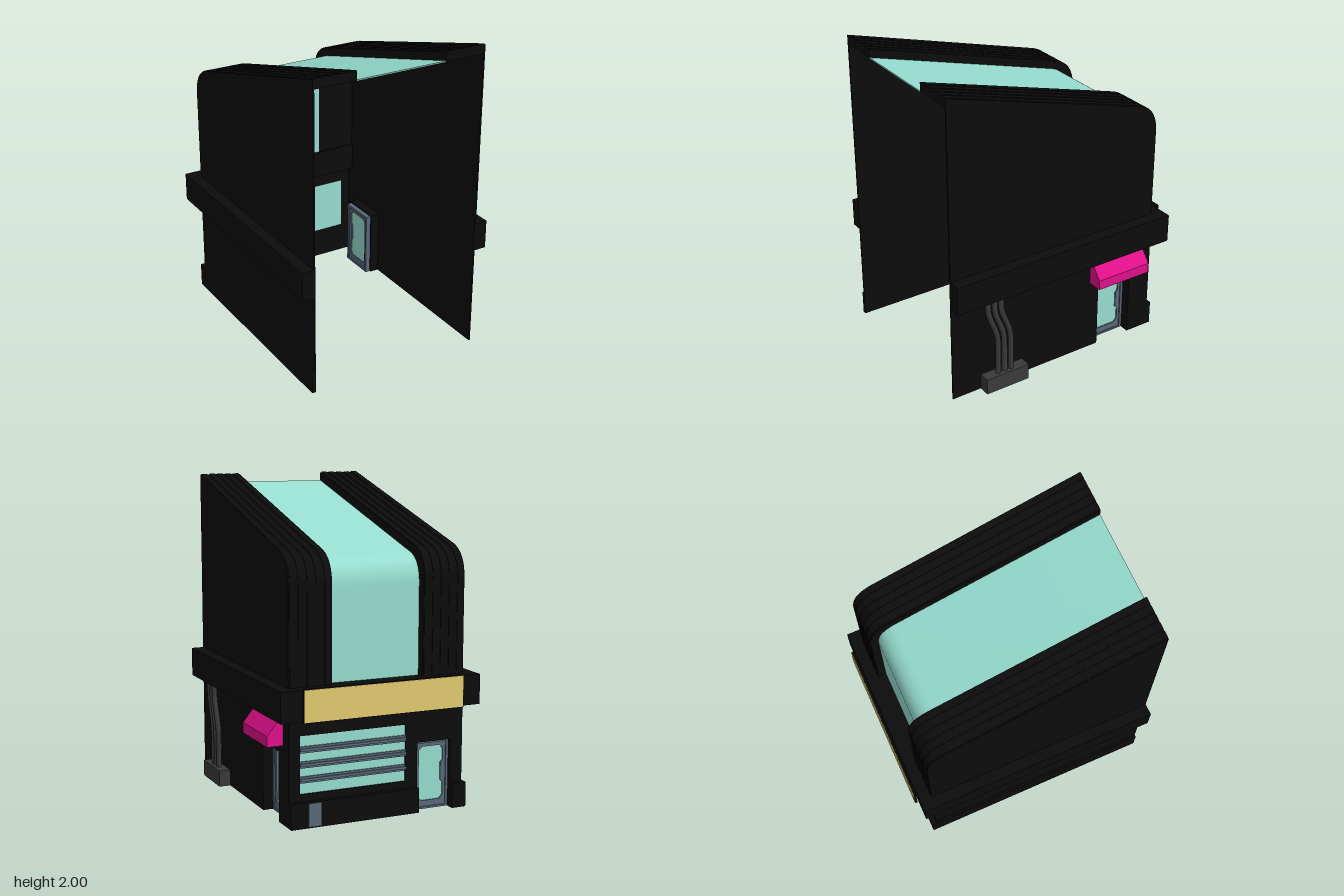
import * as THREE from 'three';
import { toCreasedNormals } from 'three/addons/utils/BufferGeometryUtils.js';

const mat = (name, color) => {
  const m = new THREE.MeshStandardMaterial({ color, side: THREE.DoubleSide });
  m.name = name;
  return m;
};

export function createModel() {
  const black = mat('black wall', 0x0c0c0c);
  const teal = mat('teal glass', 0x96ddcf);
  const slate = mat('slate frame', 0x5a6878);
  const grey = mat('dark grey pipe', 0x3a3a3a);
  const pink = mat('pink awning', 0xe0108a);
  const gold = mat('gold sign', 0xe3cc70);

  const model = new THREE.Group();
  const add = (name, geo, material, parent = model) => {
    const mesh = new THREE.Mesh(geo, material);
    mesh.name = name;
    parent.add(mesh);
    return mesh;
  };
  // box given by its limits on each axis
  const box = (name, material, x0, x1, y0, y1, z0, z1, parent = model) => {
    const g = new THREE.BoxGeometry(x1 - x0, y1 - y0, z1 - z0);
    g.translate((x0 + x1) / 2, (y0 + y1) / 2, (z0 + z1) / 2);
    return add(name, g, material, parent);
  };
  const poly = (pts, Type = THREE.Shape) => new Type(pts.map(p => new THREE.Vector2(...p)));
  const extrude = (shape, depth) =>
    new THREE.ExtrudeGeometry(shape, { depth, bevelEnabled: false, curveSegments: 12 });
  // extrude a (-z, y) outline from x0 to x1
  const extrudeX = (shape, x0, x1) =>
    toCreasedNormals(extrude(shape, x1 - x0).rotateY(Math.PI / 2).translate(x0, 0, 0), 0.5);

  // side outline of the upper storey, moved inwards by d: up the rear, round, up the slope
  const outline = (d, bottom) => {
    const roof = u => 2 - 0.281 * (u + 0.8) - 1.04 * d;
    const end = 0.55 - 0.5 * d;
    const curve = new THREE.QuadraticBezierCurve(
      new THREE.Vector2(0.7 - d, 1.42 - d * 0.5),
      new THREE.Vector2(0.7 - d, roof(0.7 - d)),
      new THREE.Vector2(end, roof(end)));
    return [[0.7 - d, bottom], ...curve.getPoints(12).map(p => [p.x, p.y]), [-0.8, roof(-0.8)]];
  };
  const shell = (d0, d1) => poly([...outline(d0, 0.8), ...outline(d1, 0.8).reverse()]);

  // side walls; the right one has a doorway
  add('leftWall', extrudeX(poly([...outline(0.008, 0), [-0.8, 0]]), -0.59, -0.58), black);
  add('rightWall', extrudeX(poly([
    ...outline(0.008, 0), [-0.8, 0], [0.29, 0], [0.29, 0.43], [0.54, 0.43], [0.54, 0],
  ]), 0.55, 0.56), black);

  // ribbed roof strips on both sides of the glass
  for (const [name, x0, x1] of [['left', 0.285, 0.56], ['right', -0.59, -0.31]]) {
    add(name + 'RoofStrip', extrudeX(shell(0.01, 0.06), x0, x1), black);
    const pitch = (x1 - x0) / 5;
    for (let i = 0; i < 5; i++) {
      const a = x0 + i * pitch;
      add(name + 'RoofRib', extrudeX(shell(0.004, 0.02), a, a + pitch), black);
      add(name + 'RoofRibCrown', extrudeX(shell(0, 0.02), a + 0.008, a + pitch - 0.008), black);
    }
  }
  add('roofGlass', extrudeX(shell(0.055, 0.063), -0.31, 0.285), teal);

  // projecting band around three sides
  box('bandRear', black, -0.665, 0.64, 0.65, 0.835, -0.775, -0.63);
  box('bandRight', black, -0.665, -0.58, 0.65, 0.835, -0.775, 0.8);
  box('bandLeft', black, 0.55, 0.64, 0.65, 0.835, -0.775, 0.8);

  // sign board with its coloured face
  box('signBoard', black, -0.54, 0.51, 0.645, 0.845, -0.796, -0.782);
  box('signFace', gold, -0.535, 0.505, 0.65, 0.84, -0.8, -0.796);

  // rear wall with doorway and window opening
  const rear = poly([[-0.59, 0], [-0.51, 0], [-0.51, 0.43], [-0.28, 0.43], [-0.28, 0],
    [0.56, 0], [0.56, 0.65], [-0.59, 0.65]]);
  rear.holes.push(poly([[-0.2, 0.2], [-0.2, 0.55], [0.49, 0.55], [0.49, 0.2]], THREE.Path));
  add('rearWall', extrude(rear, 0.02).translate(0, 0, -0.7), black);
  box('windowGlass', teal, -0.2, 0.49, 0.2, 0.55, -0.69, -0.682);
  for (let i = 0; i < 3; i++) {
    const y = 0.285 + i * 0.09;
    box('windowSlat', slate, -0.2, 0.49, y - 0.02, y + 0.02, -0.698, -0.688);
    box('windowSlatRidge', slate, -0.2, 0.49, y - 0.008, y + 0.008, -0.706, -0.696);
  }

  // plinth
  box('plinthRight', black, -0.605, -0.585, 0, 0.155, -0.73, 0.8);
  box('plinthRearCorner', black, -0.605, -0.51, 0, 0.155, -0.73, -0.69);
  box('plinthRear', black, -0.28, 0.56, 0, 0.155, -0.73, -0.69);
  box('wallBox', slate, 0.37, 0.45, 0.01, 0.15, -0.737, -0.72);

  // doorway linings
  box('rearJamb', black, -0.52, -0.51, 0, 0.43, -0.7, -0.63);
  box('rearJamb', black, -0.28, -0.27, 0, 0.43, -0.7, -0.63);
  box('rearLintel', black, -0.52, -0.27, 0.43, 0.44, -0.7, -0.63);
  box('sideJamb', black, 0.49, 0.56, 0, 0.43, -0.29, -0.28);
  box('sideJamb', black, 0.49, 0.56, 0, 0.43, -0.55, -0.54);
  box('sideLintel', black, 0.49, 0.56, 0.43, 0.44, -0.55, -0.28);

  // door facing local +z, with a handle plate cutting into the glass
  const door = (name, w) => {
    const g = new THREE.Group();
    g.name = name;
    const h = w / 2, a = h - 0.035, c = 0.022;
    const frame = poly([[-h, 0], [h, 0], [h, 0.43], [-h, 0.43]]);
    frame.holes.push(poly([[-h + 0.017, 0.012], [-h + 0.017, 0.413], [h - 0.017, 0.413], [h - 0.017, 0.012]], THREE.Path));
    add('doorFrame', extrude(frame, 0.04).translate(0, 0, -0.02), slate, g);
    const leaf = poly([[-h + 0.01, 0.005], [h - 0.01, 0.005], [h - 0.01, 0.42], [-h + 0.01, 0.42]]);
    leaf.holes.push(poly([
      [-a + c, 0.05], [-a, 0.05 + c], [-a, 0.39 - c], [-a + c, 0.39], [a - c, 0.39], [a, 0.39 - c],
      [a, 0.295], [a - 0.015, 0.28], [a - 0.015, 0.17], [a, 0.155], [a, 0.05 + c], [a - c, 0.05],
    ], THREE.Path));
    add('doorLeaf', extrude(leaf, 0.024).translate(0, 0, -0.012), slate, g);
    box('doorGlass', teal, -a - 0.005, a + 0.005, 0.045, 0.395, -0.004, 0.004, g);
    model.add(g);
    return g;
  };
  const rearDoor = door('rearDoor', 0.235);
  rearDoor.position.set(-0.395, 0, -0.65);
  rearDoor.rotation.y = Math.PI;
  const sideDoor = door('sideDoor', 0.25);
  sideDoor.position.set(0.478, 0, -0.415);
  sideDoor.rotation.y = Math.PI / 2;

  // awning over the side door: thin cover with closed ends
  const cover = poly([[0.56, 0.65], [0.575, 0.65], [0.66, 0.545], [0.66, 0.48], [0.652, 0.48],
    [0.652, 0.54], [0.57, 0.64], [0.56, 0.64]]);
  add('awningCover', extrude(cover, 0.38).translate(0, 0, -0.605), pink);
  const end = poly([[0.56, 0.65], [0.575, 0.65], [0.66, 0.545], [0.66, 0.48], [0.56, 0.48]]);
  for (const z of [-0.61, -0.228]) add('awningEnd', extrude(end, 0.008).translate(0, 0, z), pink);

  // three bent pipes rising from a floor box
  box('pipeBox', grey, 0.56, 0.635, 0, 0.105, 0.295, 0.6);
  for (let i = 0; i < 3; i++) {
    const z = 0.405 + i * 0.046;
    const path = new THREE.CatmullRomCurve3([
      [0.09, 0], [0.28, 0], [0.36, 0.003], [0.43, 0.022], [0.5, 0.05], [0.56, 0.067], [0.655, 0.07],
    ].map(([y, dz]) => new THREE.Vector3(0.598, y, z + dz)));
    add('pipe', new THREE.TubeGeometry(path, 24, 0.018, 8), grey);
  }
  return model;
}
